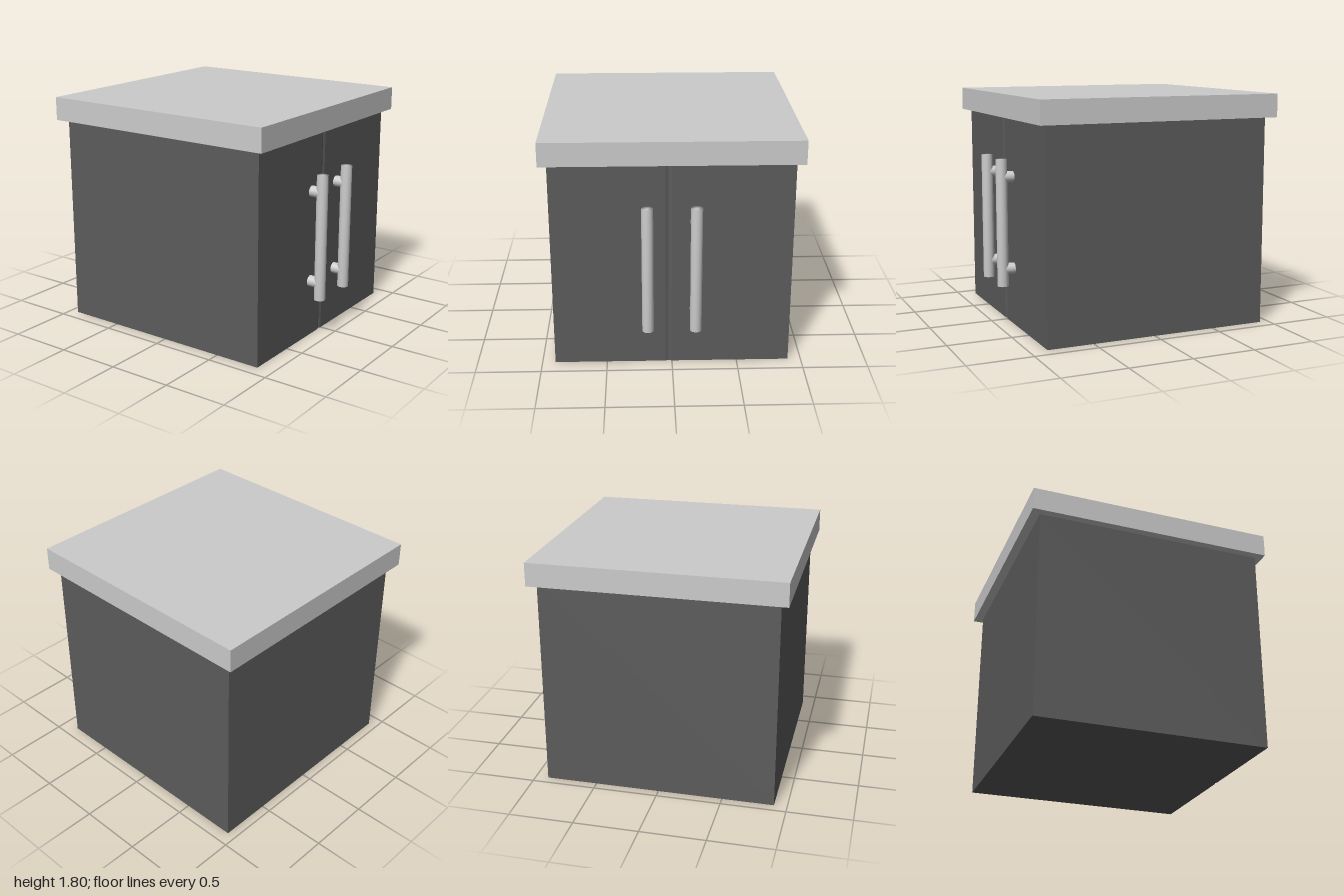
import * as THREE from 'three';
import { mergeVertices } from 'three/addons/utils/BufferGeometryUtils.js';

const grey = new THREE.MeshStandardMaterial({ color: 0xcccccc });
const dark = new THREE.MeshStandardMaterial({ color: 0x5c5c5c });

function addMesh(parent, name, geometry, material, x, y, z) {
  const mesh = new THREE.Mesh(geometry, material);
  mesh.name = name;
  mesh.position.set(x, y, z);
  parent.add(mesh);
  return mesh;
}

// Cylinder whose shading runs smoothly over the rim into the caps
function softCylinder(radius, length) {
  const g = new THREE.CylinderGeometry(radius, radius, length, 32);
  g.deleteAttribute('normal');
  g.deleteAttribute('uv');
  const merged = mergeVertices(g);
  merged.computeVertexNormals();
  return merged;
}

export function createModel() {
  const model = new THREE.Group();
  model.name = 'cabinet';

  // Cabinet body: floor plan with a shallow door seam in the front, extruded upwards
  const front = 0.865, back = -0.93, half = 0.9;
  const plan = new THREE.Shape([
    [-half, -front], [-0.048, -front], [-0.025, -front + 0.008], [-0.002, -front],
    [half, -front], [half, -back], [-half, -back],
  ].map(([x, y]) => new THREE.Vector2(x, y)));
  const bodyGeometry = new THREE.ExtrudeGeometry(plan, { depth: 1.625, bevelEnabled: false });
  bodyGeometry.rotateX(-Math.PI / 2);
  addMesh(model, 'body', bodyGeometry, dark, 0, 0, 0);

  // Overhanging worktop
  addMesh(model, 'worktop', new THREE.BoxGeometry(1.92, 0.18, 1.925), grey, 0, 1.713, -0.0375);

  // Bar handles, each on two round standoffs
  const barZ = 0.956;
  for (const [name, x] of [['rightHandle', -0.183], ['leftHandle', 0.177]]) {
    const handle = new THREE.Group();
    handle.name = name;
    handle.position.x = x;
    addMesh(handle, 'bar', softCylinder(0.044, 0.99), grey, 0, 0.815, barZ);
    for (const y of [0.455, 1.173]) {
      const post = addMesh(handle, 'standoff', new THREE.CylinderGeometry(0.043, 0.043, 0.1, 32),
        grey, 0, y, 0.907);
      post.rotation.x = Math.PI / 2;
    }
    model.add(handle);
  }

  return model;
}
